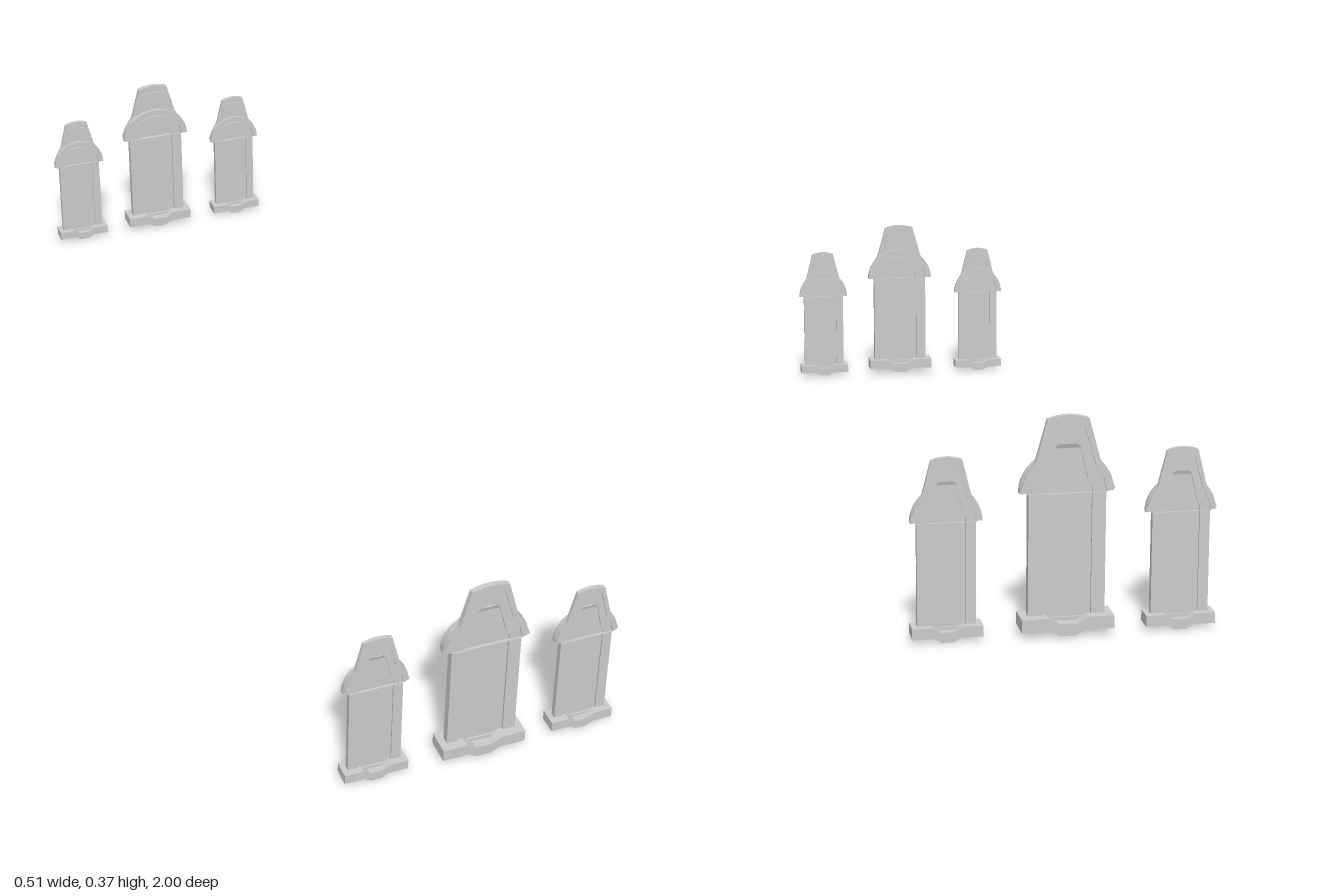
import * as THREE from 'three';

const material = new THREE.MeshStandardMaterial({ color: 0xcccccc, flatShading: true, side: THREE.DoubleSide });

// Closed symmetric shape from right-hand points (bottom to top), with a gently crowned top
function crowned(half, crownY) {
  const s = new THREE.Shape();
  const [tx, ty] = half[half.length - 1];
  s.moveTo(half[0][0], half[0][1]);
  half.slice(1).forEach(([x, y]) => s.lineTo(x, y));
  s.quadraticCurveTo(0, 2 * crownY - ty, -tx, ty);
  [...half].reverse().slice(1).forEach(([x, y]) => s.lineTo(-x, y));
  s.closePath();
  return s;
}

// Upright opening with a round head
function arched(rx, ry, bottom, spring) {
  const s = new THREE.Shape();
  s.moveTo(rx, bottom);
  s.lineTo(rx, spring);
  s.absellipse(0, spring, rx, ry, 0, Math.PI, false);
  s.lineTo(-rx, bottom);
  s.closePath();
  return s;
}

function slab(name, shape, z0, z1, hole) {
  if (hole) shape.holes.push(hole);
  const geo = new THREE.ExtrudeGeometry(shape, { depth: z1 - z0, bevelEnabled: false, curveSegments: 10 });
  geo.translate(0, 0, z0);
  const mesh = new THREE.Mesh(geo, material);
  mesh.name = name;
  return mesh;
}

// Right-hand outlines of the tapered outer face
const HOOD = [[0.064, 0.24], [0.078, 0.246], [0.069, 0.27], [0.053, 0.295], [0.034, 0.364]];
const FRAME_TOP = [[0.064, 0.24], [0.059, 0.264], [0.046, 0.286], [0.027, 0.35]];
const PANEL = [[0.041, 0.03], [0.041, 0.25], [0.034, 0.262], [0.02, 0.318]];

function createWindow() {
  const g = new THREE.Group();
  g.name = 'window';

  // Thin core closing the opening, and the tapered plate behind the hood
  g.add(slab('panel', crowned([[0.064, 0.02], ...FRAME_TOP], 0.354), -0.003, 0.003));
  g.add(slab('topPlate', crowned(HOOD, 0.37), 0, 0.004));

  // Outer face: tapered frame and raised hood rim
  g.add(slab('outerFrame', crowned([[0.064, 0.02], ...FRAME_TOP], 0.354), 0.002, 0.007,
    crowned(PANEL, 0.325)));
  g.add(slab('outerHood', crowned(HOOD, 0.37), 0.003, 0.01, crowned(FRAME_TOP, 0.354)));

  // Sloping head of the outer recess
  const wedge = new THREE.Shape([
    new THREE.Vector2(-0.007, 0.322), new THREE.Vector2(-0.002, 0.322), new THREE.Vector2(-0.002, 0.309),
  ]);
  const head = slab('recessHead', wedge, -0.021, 0.021);
  head.geometry.rotateY(Math.PI / 2);
  g.add(head);

  // Inner face: round-headed frame and arched hood
  g.add(slab('innerFrame', arched(0.064, 0.057, 0.02, 0.236), -0.008, -0.002,
    arched(0.041, 0.035, 0.03, 0.236)));
  g.add(slab('innerHood', arched(0.078, 0.07, 0.24, 0.241), -0.011, 0.002,
    arched(0.063, 0.056, 0.2401, 0.241)));

  // Sill with a dropped centre, dipped along its top edge
  const half = [[0.013, 0.003], [0.029, 0.012], [0.077, 0.012], [0.077, 0.034], [0.033, 0.034], [0.016, 0.024]];
  const left = [...half].reverse().map(([x, y]) => [-x, y]);
  const sill = new THREE.Shape([...half, ...left].map(([x, y]) => new THREE.Vector2(x, y)));
  g.add(slab('sill', sill, -0.024, 0.024));
  return g;
}

// One large window between two smaller ones
function createRow(name) {
  const row = new THREE.Group();
  row.name = name;
  const middle = createWindow();
  middle.name = 'middleWindow';
  middle.position.set(0.0015, 0, 0.976);
  row.add(middle);
  [['leftWindow', 0.1925], ['rightWindow', -0.1955]].forEach(([label, x]) => {
    const w = createWindow();
    w.name = label;
    w.scale.set(0.755, 0.839, 0.72);
    w.position.set(x, -0.0025, 0.974);
    row.add(w);
  });
  return row;
}

export function createModel() {
  const model = new THREE.Group();
  model.name = 'windowRows';
  const front = createRow('frontRow');
  const back = createRow('backRow');
  back.rotation.y = Math.PI;
  model.add(front, back);
  return model;
}
